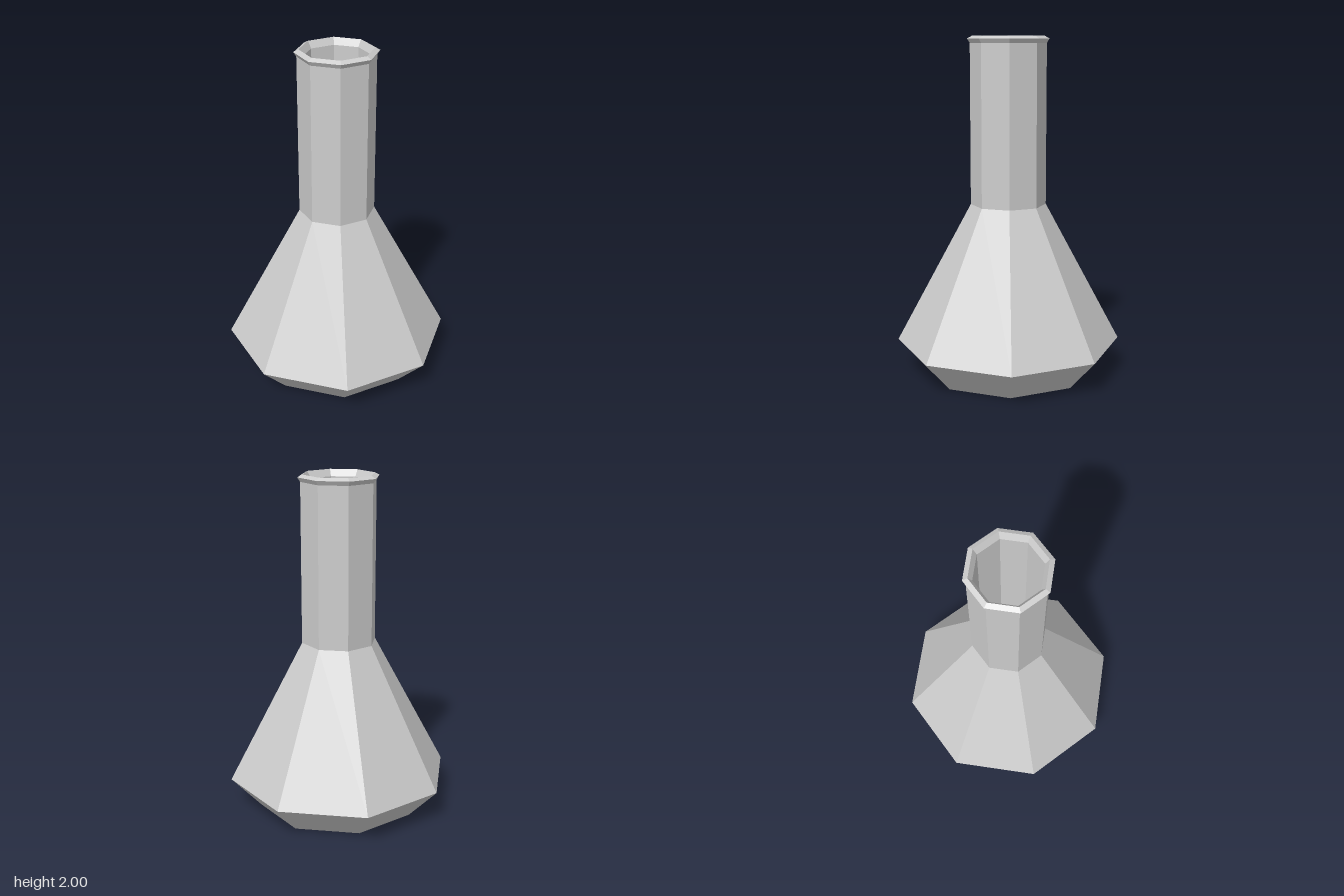
import * as THREE from 'three';

const SIDES = 8;

// Eight-sided solid turned from [radius, height] pairs
function turned(name, profile, material) {
  const points = profile.map(([r, y]) => new THREE.Vector2(r, y));
  const mesh = new THREE.Mesh(new THREE.LatheGeometry(points, SIDES), material);
  mesh.name = name;
  return mesh;
}

export function createModel() {
  const glass = new THREE.MeshStandardMaterial({ color: 0xcccccc, flatShading: true });
  glass.name = 'grey glass';
  const blue = new THREE.MeshStandardMaterial({ color: 0x0f46dc, flatShading: true });
  blue.name = 'blue liquid';

  const group = new THREE.Group();
  group.name = 'flask';

  // Vessel wall: up the outside, over the lip, down the inside
  group.add(turned('vessel', [
    [0, 0], [0.49, 0], [0.667, 0.19], [0.222, 1.02],   // base and shoulder
    [0.222, 1.96], [0.238, 1.985], [0.21, 2.0],        // neck and flared lip
    [0.187, 1.96], [0.187, 1.01],                      // inside of the neck
    [0.62, 0.2], [0.47, 0.03], [0, 0.03],              // inside of the body
  ], glass));

  // Liquid filling the body up to the foot of the neck
  group.add(turned('liquid', [
    [0, 0.04], [0.46, 0.04], [0.6, 0.2], [0.17, 1.0], [0, 1.0],
  ], blue));

  return group;
}
